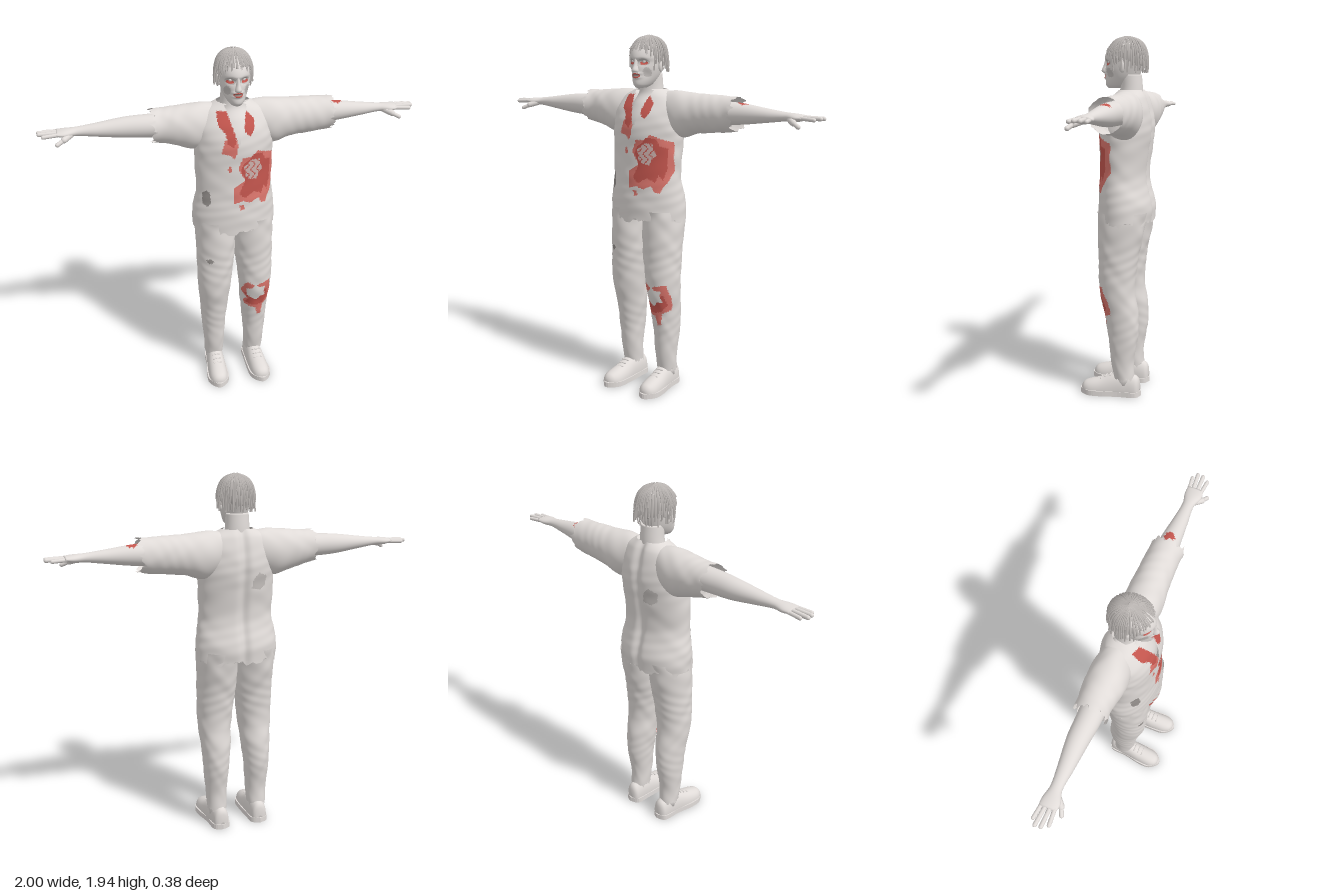
import * as THREE from 'three';

const flat = (name, color, side = THREE.FrontSide) => {
  const m = new THREE.MeshStandardMaterial({ color, side });
  m.name = name;
  return m;
};

// Repeatable random numbers
let seed = 7;
const rnd = () => ((seed = (seed * 16807) % 2147483647) / 2147483647);

// Smooth interpolation of the section rows [t, uMin, uMax, vMin, vMax]
function sectionAt(rows, t) {
  let i = 0;
  while (i < rows.length - 2 && t > rows[i + 1][0]) i++;
  const a = rows[i], b = rows[i + 1], h = b[0] - a[0], f = (t - a[0]) / h;
  const p = rows[i - 1] || a, n = rows[i + 2] || b;
  return [1, 2, 3, 4].map(k => {
    const ma = ((b[k] - p[k]) / (b[0] - p[0])) * h, mb = ((n[k] - a[k]) / (n[0] - a[0])) * h;
    const f2 = f * f, f3 = f2 * f;
    return a[k] * (2 * f3 - 3 * f2 + 1) + ma * (f3 - 2 * f2 + f) + b[k] * (3 * f2 - 2 * f3) + mb * (f3 - f2);
  });
}

const inside = (poly, x, y) => {
  let c = false;
  for (let i = 0, j = poly.length - 1; i < poly.length; j = i++) {
    const [xi, yi] = poly[i], [xj, yj] = poly[j];
    if ((yi > y) !== (yj > y) && x < ((xj - xi) * (y - yi)) / (yj - yi) + xi) c = !c;
  }
  return c;
};
const jag = a => Math.sin(7 * a) * 0.5 + Math.sin(17 * a + 1) * 0.4 + Math.sin(29 * a) * 0.2;
const crease = (t, q) => Math.sin(t * 38 + 2 * q + 1.5 * Math.sin(3 * q + t * 11)) + 0.6 * Math.sin(t * 83 - 4 * q + 2 * Math.sin(t * 17));

// Skin a body part along an axis; u, v are the next two axes in cyclic order.
// paint(point) picks the material index, or -1 to leave a hole.
function loft(name, rows, mats, o = {}) {
  const { axis = 'y', segs = 40, steps = 40, power = 1, side = 1, wrinkle = 0, ragStart = 0, ragEnd = 0, shape, paint } = o;
  const ax = { x: 0, y: 1, z: 2 }[axis], pos = [], pts = [];
  const t0 = rows[0][0], t1 = rows[rows.length - 1][0];
  const bend = c => Math.sign(c) * Math.pow(Math.abs(c), power);
  for (let j = 0; j <= steps; j++) {
    const t = t0 + ((t1 - t0) * j) / steps, [a, b, c, d] = sectionAt(rows, t);
    for (let i = 0; i < segs; i++) {
      const q = (i / segs) * Math.PI * 2, p = new THREE.Vector3(), w = 1 + wrinkle * crease(t, q);
      p.setComponent(ax, t + jag(q) * (j === 0 ? ragStart : j === steps ? ragEnd : 0));
      p.setComponent((ax + 1) % 3, (a + b) / 2 + ((b - a) / 2) * w * bend(Math.cos(q)));
      p.setComponent((ax + 2) % 3, (c + d) / 2 + ((d - c) / 2) * w * bend(Math.sin(q)));
      if (shape) shape(p);
      p.x *= side;
      pts.push(p);
      pos.push(p.x, p.y, p.z);
    }
  }
  // End caps
  const caps = [0, steps].map(j => {
    const m = new THREE.Vector3();
    for (let i = 0; i < segs; i++) m.addScaledVector(pts[j * segs + i], 1 / segs);
    pts.push(m);
    pos.push(m.x, m.y, m.z);
    return pts.length - 1;
  });
  const list = Array.isArray(mats) ? mats : [mats], buckets = list.map(() => []);
  const tri = (a, b, c) => {
    const mid = pts[a].clone().add(pts[b]).add(pts[c]).divideScalar(3);
    const k = paint ? paint(mid) : 0;
    if (k >= 0) buckets[k].push(...(side > 0 ? [a, b, c] : [a, c, b]));
  };
  for (let i = 0; i < segs; i++) {
    const n = (i + 1) % segs;
    for (let j = 0; j < steps; j++) {
      const a = j * segs + i, b = j * segs + n;
      tri(a, b, b + segs);
      tri(a, b + segs, a + segs);
    }
    if (!o.open) {
      tri(caps[0], n, i);
      tri(caps[1], steps * segs + i, steps * segs + n);
    }
  }
  const g = new THREE.BufferGeometry();
  g.setAttribute('position', new THREE.Float32BufferAttribute(pos, 3));
  g.setIndex(buckets.flat());
  let start = 0;
  buckets.forEach((b, k) => { g.addGroup(start, b.length, k); start += b.length; });
  g.computeVertexNormals();
  const mesh = new THREE.Mesh(g, list.length > 1 ? list : list[0]);
  mesh.name = name;
  return mesh;
}

export function createModel() {
  seed = 7;
  const model = new THREE.Group();
  model.name = 'tatteredFigure';
  const skin = flat('skin', 0xe0dbd8), cloth = flat('cloth', 0xe0dbd8, THREE.DoubleSide);
  const blood = flat('blood', 0xc4564e, THREE.DoubleSide), smear = flat('bloodSmear', 0xdc766d, THREE.DoubleSide);
  const wound = flat('wound', 0xcdb2ae, THREE.DoubleSide), tear = flat('tear', 0x96918e, THREE.DoubleSide);
  const hair = flat('hair', 0xbdb8b5), grime = flat('grime', 0xc4bfbc, THREE.DoubleSide);
  const add = (...m) => model.add(...m);

  // Shirt body with open collar, stains and a torn belly
  const collar = [[-0.07, 1.7], [0.075, 1.7], [0.0, 1.46]];
  const stains = [
    [[0.024, 1.365], [0.06, 1.39], [0.08, 1.415], [0.13, 1.41], [0.145, 1.37], [0.18, 1.36], [0.175, 1.25], [0.16, 1.19], [0.14, 1.22], [0.125, 1.18], [0.08, 1.2], [0.03, 1.17], [0.0, 1.2], [0.035, 1.27], [0.01, 1.33]],
    [[-0.1, 1.63], [-0.04, 1.63], [-0.01, 1.5], [-0.03, 1.46], [-0.06, 1.48], [-0.065, 1.53], [-0.1, 1.57]],
    [[0.05, 1.63], [0.09, 1.59], [0.085, 1.54], [0.06, 1.51], [0.03, 1.54]]];
  const smears = [
    [[0.02, 1.4], [0.07, 1.4], [0.1, 1.43], [0.15, 1.41], [0.197, 1.39], [0.197, 1.24], [0.18, 1.18], [0.16, 1.15], [0.15, 1.12], [0.12, 1.13], [0.11, 1.16], [0.06, 1.14], [0.02, 1.155], [-0.03, 1.14], [-0.025, 1.235], [0.035, 1.27], [-0.005, 1.34]],
    [[-0.07, 1.5], [0.0, 1.5], [-0.01, 1.43], [-0.025, 1.4], [-0.05, 1.42], [-0.09, 1.43]],
    [[-0.06, 1.34], [-0.045, 1.365], [-0.035, 1.33], [-0.05, 1.32]],
    [[0.0, 1.13], [0.025, 1.13], [0.03, 1.105], [0.01, 1.1]]];
  const bellyHole = [[0.025, 1.35], [0.05, 1.365], [0.06, 1.385], [0.11, 1.385], [0.12, 1.35], [0.13, 1.32], [0.105, 1.3], [0.1, 1.27], [0.06, 1.275], [0.035, 1.295]];
  const hipTear = [[-0.185, 1.19], [-0.165, 1.21], [-0.15, 1.2], [-0.145, 1.14], [-0.16, 1.12], [-0.185, 1.13]];
  const backTear = [[-0.13, 1.42], [-0.08, 1.44], [-0.05, 1.41], [-0.04, 1.36], [-0.09, 1.35], [-0.12, 1.37]];
  add(loft('shirt', [
    [0.965, -0.18, 0.115, -0.225, 0.224], [1.05, -0.183, 0.115, -0.228, 0.224], [1.2, -0.15, 0.11, -0.205, 0.202],
    [1.35, -0.165, 0.108, -0.21, 0.206], [1.46, -0.178, 0.112, -0.207, 0.206], [1.55, -0.168, 0.085, -0.2, 0.2],
    [1.62, -0.148, 0.042, -0.16, 0.16], [1.66, -0.125, 0.012, -0.085, 0.085]],
  [cloth, blood, smear, wound, tear, grime], {
    segs: 150, steps: 130, wrinkle: 0.006, ragStart: 0.022, open: true,
    shape: p => { if (p.z < -0.05) p.z += 0.018 * Math.exp(-((p.x / 0.025) ** 2)); },
    paint: p => {
      const on = poly => inside(poly, p.x, p.y);
      if (p.z < -0.09) return on(backTear) ? 5 : 0;
      if (p.z < 0.005) return on(hipTear) && p.z > -0.03 ? 4 : 0;
      if (on(collar)) return -1;
      if (on(bellyHole)) return Math.sin(p.x * 190 + 2 * Math.sin(p.y * 110)) > 0.8 ? 1 : 3;
      if (on(hipTear)) return 4;
      return stains.some(on) ? 1 : smears.some(on) ? 2 : 0;
    }
  }));

  // Neck and upper chest
  add(loft('neck', [
    [1.4, -0.1, 0.09, -0.14, 0.14], [1.5, -0.1, 0.083, -0.12, 0.12], [1.58, -0.11, 0.048, -0.09, 0.09],
    [1.64, -0.117, 0.008, -0.068, 0.068], [1.74, -0.11, 0.005, -0.06, 0.06]], skin));

  // Head with stained eyes and mouth
  const oval = (p, x, y, a, b) => ((p.x - x) / a) ** 2 + ((p.y - y) / b) ** 2 < 1;
  const dent = (p, x, y, a, b) => Math.exp(-(((p.x - x) / a) ** 2) - ((p.y - y) / b) ** 2);
  const head = new THREE.Group();
  head.name = 'head';
  head.add(loft('face', [
    [1.668, 0.0, 0.07, -0.025, 0.025], [1.685, -0.05, 0.083, -0.043, 0.043], [1.72, -0.09, 0.084, -0.062, 0.062],
    [1.76, -0.11, 0.085, -0.074, 0.074], [1.8, -0.125, 0.082, -0.08, 0.08], [1.825, -0.127, 0.089, -0.082, 0.082],
    [1.87, -0.122, 0.072, -0.08, 0.08], [1.91, -0.1, 0.04, -0.06, 0.06], [1.93, -0.055, 0.0, -0.025, 0.025]],
  [skin, blood, tear, grime], {
    segs: 100, steps: 80,
    shape: p => {
      if (p.z < 0) return;
      for (const s of [-1, 1]) p.z -= 0.014 * dent(p, s * 0.034, 1.803, 0.018, 0.014) + 0.007 * dent(p, s * 0.05, 1.74, 0.016, 0.022);
      p.z += 0.009 * (dent(p, 0, 1.742, 0.025, 0.007) + dent(p, 0, 1.722, 0.022, 0.007));
    },
    paint: p => {
      if (p.z < 0) return 0;
      const e = { x: Math.abs(p.x), y: p.y };
      if (oval(p, 0, 1.732, 0.02, 0.006)) return 2;
      if (oval(p, 0, 1.732, 0.025, 0.013)) return 1;
      if (oval(e, 0.038, 1.796, 0.018, 0.009)) return 1;
      return oval(e, 0.036, 1.8, 0.026, 0.018) || oval(e, 0.05, 1.75, 0.014, 0.025) ? 3 : 0;
    }
  }));
  head.add(loft('nose', [
    [1.748, 0.06, 0.098, -0.017, 0.017], [1.757, 0.06, 0.109, -0.018, 0.018], [1.785, 0.06, 0.098, -0.011, 0.011],
    [1.82, 0.06, 0.088, -0.008, 0.008]], skin, { segs: 16, steps: 14 }));
  for (const s of [-1, 1]) {
    const eye = new THREE.Mesh(new THREE.SphereGeometry(0.01, 14, 10), skin);
    eye.name = 'eye';
    eye.position.set(s * 0.034, 1.804, 0.055);
    const ear = new THREE.Mesh(new THREE.SphereGeometry(0.026, 12, 10), skin);
    ear.name = 'ear';
    ear.scale.set(0.4, 1.2, 0.7);
    ear.position.set(s * 0.083, 1.78, -0.025);
    head.add(eye, ear);
  }

  // Hair: a cap over the skull and matted strands hanging from the crown
  const cap = new THREE.Mesh(new THREE.SphereGeometry(1, 40, 20, 0, Math.PI * 2, 0, Math.PI * 0.52), hair);
  cap.name = 'hairCap';
  cap.scale.set(0.09, 0.105, 0.106);
  cap.rotation.x = -0.42;
  cap.position.set(0, 1.829, -0.032);
  head.add(cap);
  for (let i = 0; i < 90; i++) {
    const q = (i / 90) * Math.PI * 2 + rnd() * 0.1, c = Math.cos(q);
    const end = c > 0.6 ? 1.87 - rnd() ** 2 * 0.06 : c > 0 ? 1.84 - rnd() * 0.09 : 1.795 - rnd() * 0.05;
    const at = (r, y) => new THREE.Vector3(Math.sin(q) * 0.094 * r, y, -0.034 + c * 0.107 * r);
    const path = new THREE.CatmullRomCurve3([at(0.1, 1.935), at(0.58, 1.918), at(0.88, 1.885), at(1 + rnd() * 0.05, (1.86 + end) / 2), at(0.94 + rnd() * 0.13, end)]);
    const strand = new THREE.Mesh(new THREE.TubeGeometry(path, 12, 0.004, 5), hair);
    strand.name = 'hairStrand';
    head.add(strand);
  }
  add(head);

  const kneeBlood = [[0.045, 0.6], [0.06, 0.62], [0.1, 0.595], [0.13, 0.61], [0.185, 0.62], [0.197, 0.54], [0.19, 0.47], [0.15, 0.45], [0.14, 0.38], [0.12, 0.38], [0.11, 0.43], [0.03, 0.45], [0.06, 0.5], [0.03, 0.54]];
  const kneeCore = [[0.04, 0.53], [0.17, 0.56], [0.18, 0.5], [0.145, 0.46], [0.11, 0.45], [0.05, 0.46], [0.07, 0.5]];
  const kneeHole = [[0.055, 0.57], [0.08, 0.575], [0.1, 0.605], [0.125, 0.585], [0.16, 0.585], [0.15, 0.55], [0.165, 0.52], [0.13, 0.515], [0.11, 0.49], [0.06, 0.52]];

  for (const side of [1, -1]) {
    const left = side > 0, label = left ? 'left' : 'right', cuff = left ? 0.53 : 0.42;

    // Torn sleeve
    add(loft(label + 'Sleeve', [
      [0.05, 1.5, 1.64, -0.12, -0.01], [0.12, 1.44, 1.652, -0.145, 0.018], [0.2, 1.41, 1.652, -0.162, 0.038], [0.3, 1.437, 1.645, -0.158, 0.03],
      [cuff - 0.05, 1.455, 1.638, -0.15, 0.02], [cuff, 1.465, 1.638, -0.148, 0.026]],
    cloth, { axis: 'x', side, segs: 56, steps: 40, wrinkle: 0.01, ragEnd: 0.02, open: true }));

    // Bare arm
    add(loft(label + 'Arm', [
      [0.3, 1.49, 1.615, -0.125, 0.005], [0.45, 1.493, 1.612, -0.12, 0.0], [0.56, 1.5, 1.606, -0.118, -0.01],
      [0.7, 1.518, 1.588, -0.1, -0.022], [0.8, 1.531, 1.576, -0.09, -0.03], [0.86, 1.532, 1.572, -0.102, -0.012],
      [0.9, 1.541, 1.567, -0.102, -0.016]],
    [skin, blood], {
      axis: 'x', side, segs: 48, steps: 80,
      paint: p => (left && p.y > 1.55 && Math.hypot(p.x - 0.565, p.z + 0.068) < 0.028 + 0.005 * Math.sin(p.x * 260 + p.z * 190) ? 1 : 0)
    }));

    // Fingers and thumb
    const hand = new THREE.Group();
    hand.name = label + 'Hand';
    const digits = [
      [0.88, 1.552, -0.09, 0.962, 1.549, -0.1, 0.0095], [0.885, 1.555, -0.07, 0.988, 1.553, -0.079, 0.0105],
      [0.885, 1.556, -0.048, 0.985, 1.554, -0.05, 0.0105], [0.885, 1.554, -0.027, 0.965, 1.55, -0.02, 0.01],
      [0.83, 1.545, -0.04, 0.865, 1.532, -0.008, 0.016], [0.862, 1.533, -0.01, 0.9, 1.515, 0.008, 0.011]];
    for (const [a, b, c, d, e, f, r] of digits) {
      const p = new THREE.Vector3(a * side, b, c), q = new THREE.Vector3(d * side, e, f);
      const dir = q.clone().sub(p);
      const m = new THREE.Mesh(new THREE.CapsuleGeometry(r, dir.length(), 5, 12), skin);
      m.name = 'fingerSegment';
      m.position.copy(p).add(q).multiplyScalar(0.5);
      m.quaternion.setFromUnitVectors(new THREE.Vector3(0, 1, 0), dir.normalize());
      hand.add(m);
    }
    add(hand);

    // Trouser leg
    add(loft(label + 'Trouser', [
      [0.1, -0.105, 0.008, 0.066, 0.172], [0.2, -0.102, 0.025, 0.06, 0.177], [0.35, -0.125, 0.042, 0.05, 0.19],
      [0.47, -0.124, 0.062, 0.036, 0.196], [0.57, -0.106, 0.084, 0.028, 0.208], [0.75, -0.117, 0.095, 0.006, 0.212],
      [0.9, -0.147, 0.098, -0.004, 0.214], [1.02, -0.165, 0.1, -0.005, 0.212]],
    [cloth, smear, skin, blood, tear], {
      side, segs: 80, steps: 110, power: 0.97, wrinkle: 0.013, ragStart: 0.014, open: true,
      paint: p => {
        if (p.z < 0.012) return 0;
        if (!left) return oval(p, -0.155, 0.788, 0.018, 0.014) ? 4 : 0;
        const on = poly => inside(poly, p.x, p.y);
        return on(kneeHole) ? 2 : on(kneeCore) ? 3 : on(kneeBlood) ? 1 : 0;
      }
    }));

    // Ankle, shoe upper and sole
    add(loft(label + 'Ankle', [[0.06, -0.095, 0.0, 0.075, 0.162], [0.2, -0.09, 0.005, 0.08, 0.16]], skin, { side, segs: 24, steps: 4 }));
    add(loft(label + 'Shoe', [
      [-0.132, 0.09, 0.135, -0.02, 0.085], [-0.12, 0.074, 0.153, -0.04, 0.108], [-0.06, 0.067, 0.162, -0.05, 0.128],
      [0.0, 0.067, 0.168, -0.05, 0.122], [0.07, 0.067, 0.176, -0.05, 0.096], [0.14, 0.073, 0.178, -0.04, 0.078],
      [0.175, 0.09, 0.164, -0.02, 0.064], [0.188, 0.11, 0.146, 0.0, 0.046]],
    cloth, { axis: 'z', side, segs: 36, steps: 44, power: 0.9, shape: p => { p.y = Math.max(p.y, 0.02); } }));
    const outline = new THREE.Shape(new THREE.SplineCurve([
      [0.112, 0.14], [0.16, 0.115], [0.167, 0.02], [0.184, -0.08], [0.18, -0.15], [0.128, -0.2],
      [0.07, -0.15], [0.061, -0.06], [0.063, 0.04], [0.067, 0.115], [0.112, 0.14]].map(([x, y]) => new THREE.Vector2(x * side, y))).getPoints(50));
    const sole = new THREE.Mesh(new THREE.ExtrudeGeometry(outline, { depth: 0.028, bevelEnabled: false }), cloth);
    sole.name = label + 'Sole';
    sole.rotation.x = -Math.PI / 2;
    add(sole);

    // Laces
    for (let i = 0; i < 3; i++) {
      const lace = new THREE.Mesh(new THREE.CapsuleGeometry(0.004, 0.04, 3, 8), cloth);
      lace.name = 'lace';
      lace.rotation.z = Math.PI / 2;
      lace.position.set(0.121 * side, 0.112 - i * 0.011, 0.03 + i * 0.025);
      add(lace);
    }
  }
  return model;
}
